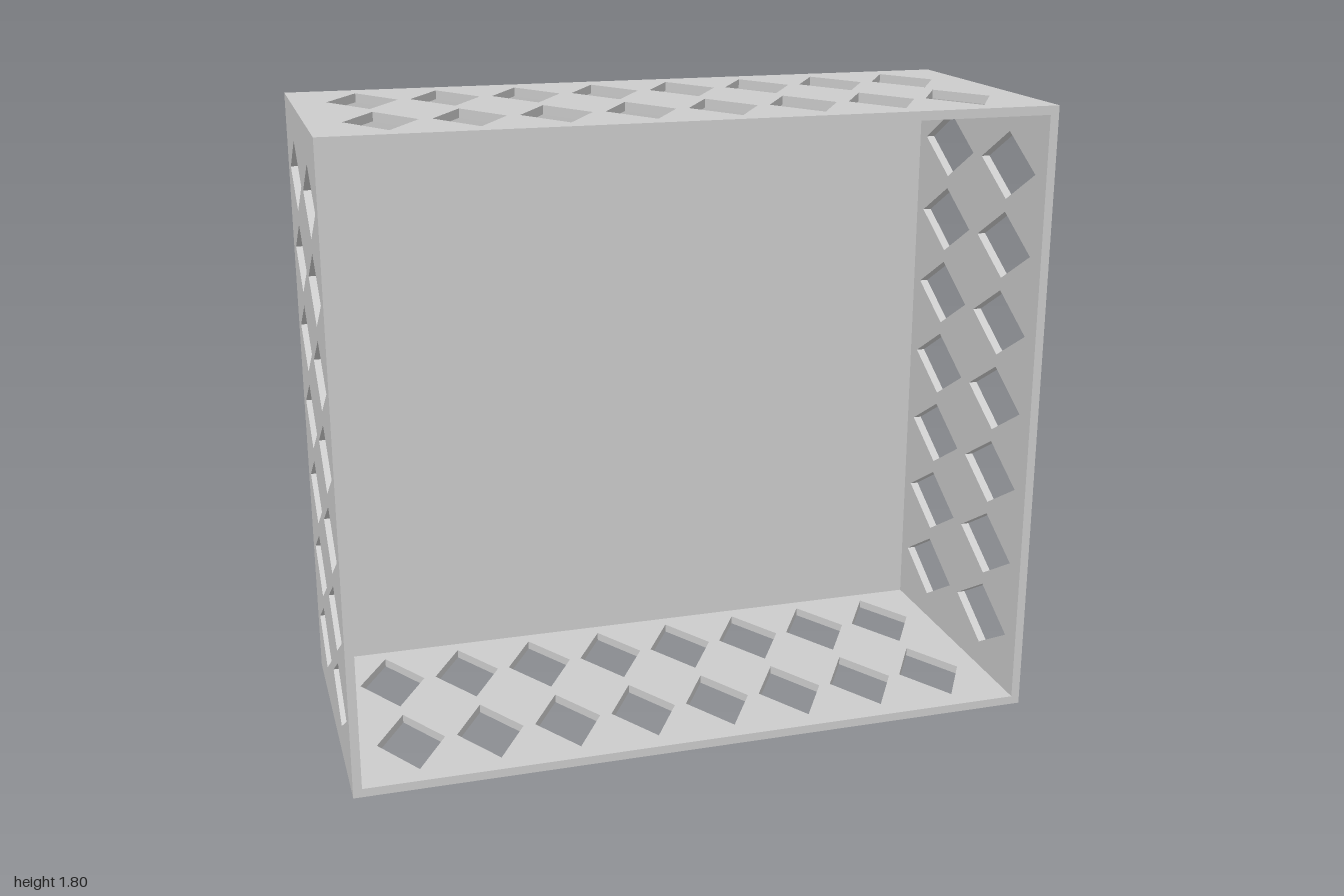
import * as THREE from 'three';

const W = 2, H = 1.8, D = 0.854, T = 0.025;   // outer size and wall thickness
const ROWS = [0.197, -0.19];                  // z of the two rows of openings
const HALF_ACROSS = 0.098, HALF_DEEP = 0.166; // half diagonals of a diamond

const material = new THREE.MeshStandardMaterial({ color: 0xcccccc, flatShading: true });

// Flat panel lying in x-z, thickness T upwards, pierced by two rows of diamonds
function piercedPanel(name, length, count, firstToLast) {
  const front = D / 2, back = -D / 2 + T;
  const shape = new THREE.Shape([
    new THREE.Vector2(-length / 2, -front),
    new THREE.Vector2(length / 2, -front),
    new THREE.Vector2(length / 2, -back),
    new THREE.Vector2(-length / 2, -back),
  ]);
  for (const z of ROWS) {
    for (let i = 0; i < count; i++) {
      const x = (i / (count - 1) - 0.5) * firstToLast;
      shape.holes.push(new THREE.Path([
        new THREE.Vector2(x - HALF_ACROSS, -z),
        new THREE.Vector2(x, -z + HALF_DEEP),
        new THREE.Vector2(x + HALF_ACROSS, -z),
        new THREE.Vector2(x, -z - HALF_DEEP),
      ]));
    }
  }
  const geometry = new THREE.ExtrudeGeometry(shape, { depth: T, bevelEnabled: false });
  geometry.rotateX(-Math.PI / 2);
  const mesh = new THREE.Mesh(geometry, material);
  mesh.name = name;
  return mesh;
}

export function createModel() {
  const crate = new THREE.Group();
  crate.name = 'openFrontBox';

  // Solid back
  const back = new THREE.Mesh(new THREE.BoxGeometry(W, H, T), material);
  back.name = 'backPanel';
  back.position.set(0, H / 2, -D / 2 + T / 2);
  crate.add(back);

  // Top and bottom, eight openings per row
  const bottom = piercedPanel('bottomPanel', W, 8, 1.614);
  const top = piercedPanel('topPanel', W, 8, 1.614);
  top.position.y = H - T;
  crate.add(bottom, top);

  // Upright sides between them, seven openings per row
  for (const [name, side] of [['leftPanel', 1], ['rightPanel', -1]]) {
    const panel = piercedPanel(name, H - 2 * T, 7, 1.4);
    panel.rotation.z = -side * Math.PI / 2;
    panel.position.set(side * (W / 2 - T), H / 2, 0);
    crate.add(panel);
  }
  return crate;
}
